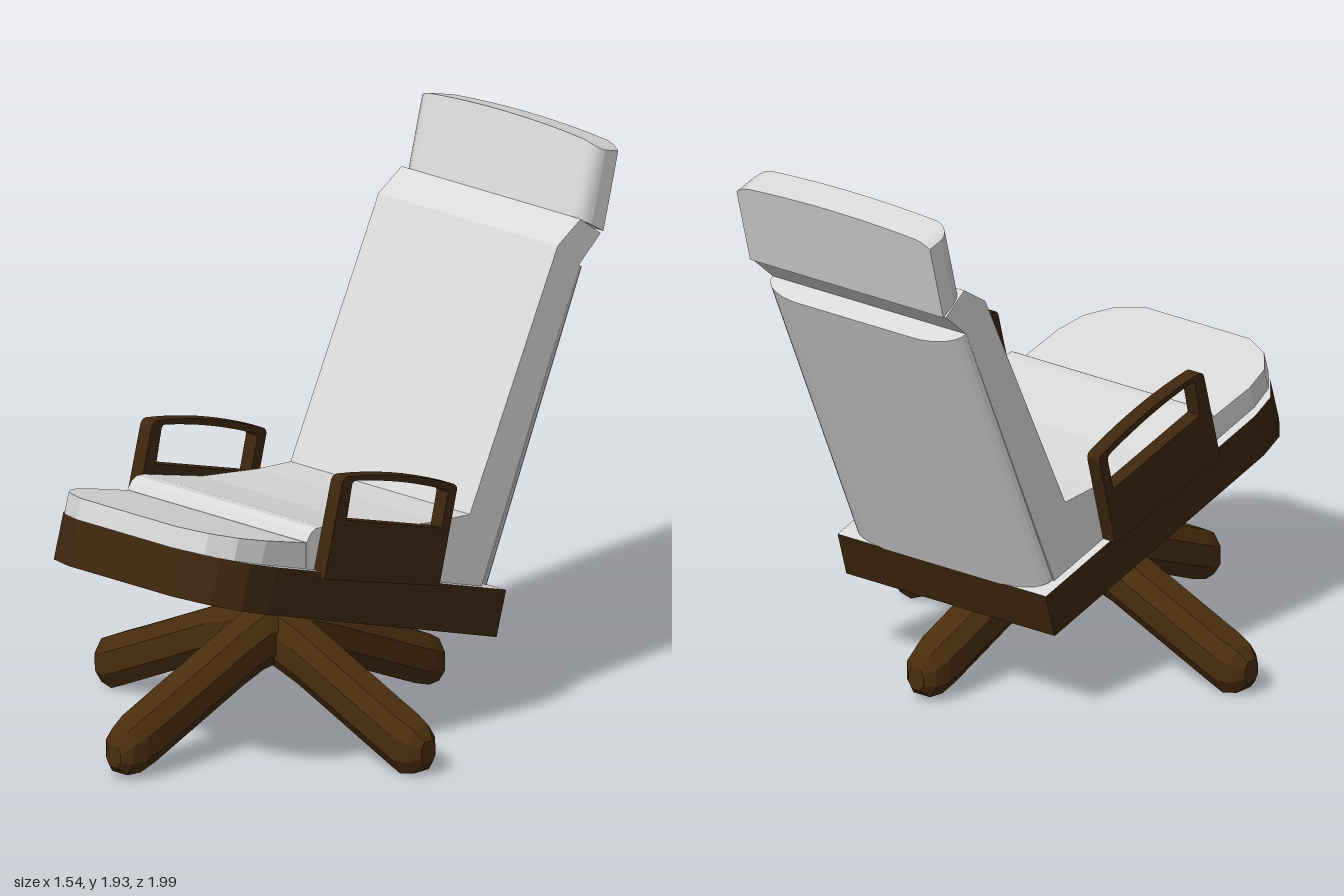
import * as THREE from 'three';

const CX = 0.05; // centre line of the seat
const makeMaterial = (name, color) => {
  const m = new THREE.MeshStandardMaterial({ color });
  m.name = name;
  return m;
};
const fabric = makeMaterial('pale grey upholstery', 0xd9d9d9);
const wood = makeMaterial('dark brown wood', 0x3d260e);
const legWood = makeMaterial('brown leg wood', 0x492d0e);

const toShape = pts => new THREE.Shape(pts.map(p => new THREE.Vector2(p[0], p[1])));

function addMesh(parent, name, geometry, material) {
  const mesh = new THREE.Mesh(geometry, material);
  mesh.name = name;
  parent.add(mesh);
  return mesh;
}

// Side profile in (z, y), extruded across x and centred
function acrossX(shape, width) {
  const g = new THREE.ExtrudeGeometry(shape, { depth: width, bevelEnabled: false, curveSegments: 8 });
  g.translate(0, 0, -width / 2);
  g.rotateY(-Math.PI / 2);
  return g;
}

// Plan outline in (x, z), extruded downward from y = 0
function downward(points, depth) {
  const g = new THREE.ExtrudeGeometry(toShape(points), { depth, bevelEnabled: false });
  g.rotateX(Math.PI / 2);
  return g;
}

// Mirror half an outline (listed from back to front, x > 0)
const mirrored = half => [...half, ...half.slice().reverse().map(([x, z]) => [-x, z])];

// Eight-sided leg along +x, lofted through stations [distance, height, scale]
function legGeometry(stations) {
  const ring = [[0.08, 0.04], [0.045, 0.093], [-0.045, 0.093], [-0.08, 0.04],
    [-0.08, -0.04], [-0.045, -0.093], [0.045, -0.093], [0.08, -0.04]];
  const n = ring.length, pos = [], idx = [];
  stations.forEach(([d, y, s]) => ring.forEach(([w, h]) => pos.push(d, y + h * s, w * s)));
  for (let i = 0; i < stations.length - 1; i++) {
    for (let j = 0; j < n; j++) {
      const a = i * n + j, b = i * n + (j + 1) % n;
      idx.push(a, a + n, b, b, a + n, b + n);
    }
  }
  // End caps
  const last = (stations.length - 1) * n;
  for (let j = 1; j < n - 1; j++) {
    idx.push(0, j, j + 1, last, last + j + 1, last + j);
  }
  const g = new THREE.BufferGeometry();
  g.setAttribute('position', new THREE.Float32BufferAttribute(pos, 3));
  g.setIndex(idx);
  const flat = g.toNonIndexed();
  flat.computeVertexNormals();
  return flat;
}

function addBase(root) {
  const base = new THREE.Group();
  base.name = 'base';
  root.add(base);
  const side = [[-0.02, 0.382, 1], [0.2, 0.308, 1], [0.62, 0.125, 1], [0.68, 0.1, 1], [0.735, 0.092, 0.82], [0.77, 0.09, 0.42]];
  const long = [[0, 0.36, 1], [0.1, 0.35, 1], [0.2, 0.315, 1], [0.62, 0.14, 1], [0.69, 0.115, 0.97], [0.745, 0.1, 0.8], [0.775, 0.09, 0.4]];
  [['leftLeg', 0, 0, side], ['rightLeg', Math.PI, 0, side],
    ['frontLeg', -Math.PI / 2, CX, long], ['backLeg', Math.PI / 2, CX, long]].forEach(([name, turn, x, path]) => {
    const leg = addMesh(base, name, legGeometry(path), legWood);
    leg.position.set(x, 0, 0.22);
    leg.rotation.y = turn;
  });
}

function addSeat(root) {
  // Tilted group: its origin is the top rear edge of the frame
  const seat = new THREE.Group();
  seat.name = 'seat';
  seat.position.set(CX, 0.46, -0.42);
  seat.rotation.x = -0.287;
  root.add(seat);

  // Wooden band with upholstered top and underside
  const L = 1.394;
  const frame = mirrored([[0.455, 0], [0.455, L - 0.25], [0.435, L - 0.14], [0.37, L - 0.06], [0.245, L]]);
  addMesh(seat, 'seatFrame', downward(frame, 0.162), [fabric, wood]);

  // Front cushion, its top sinking slightly toward the front
  const F = 1.422;
  const half = [[0.42, 0.95], [0.42, F - 0.24], [0.395, F - 0.13], [0.33, F - 0.05], [0.225, F]];
  const g = downward(mirrored(half), 0.09);
  const p = g.attributes.position;
  for (let i = 0; i < p.count; i++) {
    if (p.getY(i) > -0.01) p.setY(i, -0.017 * (p.getZ(i) - 0.95) / (F - 0.95));
  }
  g.computeVertexNormals();
  addMesh(seat, 'frontCushion', g, fabric).position.y = 0.09;
}

function addBack(root) {
  // Rear seat cushion, backrest and neck in one bent profile
  const profile = [[0.5, 0.71], [0.5, 0.825], [0.48, 0.853], [0.455, 0.865], [0.42, 0.862], [0.34, 0.842],
    [0.14, 0.793], [-0.12, 0.76], [-0.28, 0.75], [-0.7, 1.6], [-0.81, 1.67], [-0.905, 1.6], [-0.8, 1.51], [-0.33, 0.47]];
  addMesh(root, 'seatAndBackCushion', acrossX(toShape(profile), 0.845), fabric).position.x = CX;

  // Rounded rear shell
  const T = 0.082, curve = [];
  for (let i = 0; i <= 7; i++) {
    const a = (i / 7) * Math.PI / 2;
    curve.push([0.25 + 0.172 * Math.cos(a), -T * Math.sin(a)]);
  }
  const shell = addMesh(root, 'backShell', downward(mirrored(curve.reverse()), 1.117), fabric);
  shell.position.set(CX, 1.51, -0.8);
  shell.rotation.x = -0.42;

  // Headrest: rounded front corners, arched top, underside sloping to the neck
  const g = new THREE.BoxGeometry(2, 1, 1, 24, 1, 1);
  const p = g.attributes.position;
  for (let i = 0; i < p.count; i++) {
    const s = Math.sin(p.getX(i) * Math.PI / 2);
    const corner = Math.max(0, (Math.abs(s) - 0.86) / 0.14);
    const front = -0.06 * (1 - Math.sqrt(Math.max(0, 1 - corner * corner)));
    const z = p.getZ(i) > 0 ? front : -0.122;
    const y = p.getY(i) > 0 ? -0.02 * s * s - 0.02 * corner * corner : -0.28 + 0.29 * z;
    p.setXYZ(i, 0.422 * s, y, z);
  }
  g.computeVertexNormals();
  const head = addMesh(root, 'headrest', g, fabric);
  head.position.set(CX, 1.94, -0.882);
  head.rotation.x = -0.26;
}

function addArmrests(root) {
  const shape = new THREE.Shape();
  shape.moveTo(0.47, 0.7);
  shape.lineTo(0.385, 1.015);
  shape.quadraticCurveTo(0.378, 1.04, 0.35, 1.035);
  shape.quadraticCurveTo(0.1, 1.0, -0.145, 0.9);
  shape.quadraticCurveTo(-0.168, 0.89, -0.163, 0.87);
  shape.lineTo(-0.08, 0.555);
  // Open grip below the top rail
  const grip = new THREE.Path();
  grip.moveTo(0.363, 0.885);
  grip.lineTo(0.338, 1.0);
  grip.quadraticCurveTo(0.334, 1.018, 0.315, 1.013);
  grip.quadraticCurveTo(0.1, 0.972, -0.105, 0.888);
  grip.quadraticCurveTo(-0.125, 0.88, -0.12, 0.865);
  grip.lineTo(-0.092, 0.755);
  shape.holes.push(grip);
  [['leftArmrest', 1], ['rightArmrest', -1]].forEach(([name, s]) => {
    addMesh(root, name, acrossX(shape, 0.054), wood).position.x = CX + s * 0.449;
  });
}

export function createModel() {
  const model = new THREE.Group();
  model.name = 'swivelArmchair';
  addBase(model);
  addSeat(model);
  addBack(model);
  addArmrests(model);
  return model;
}
